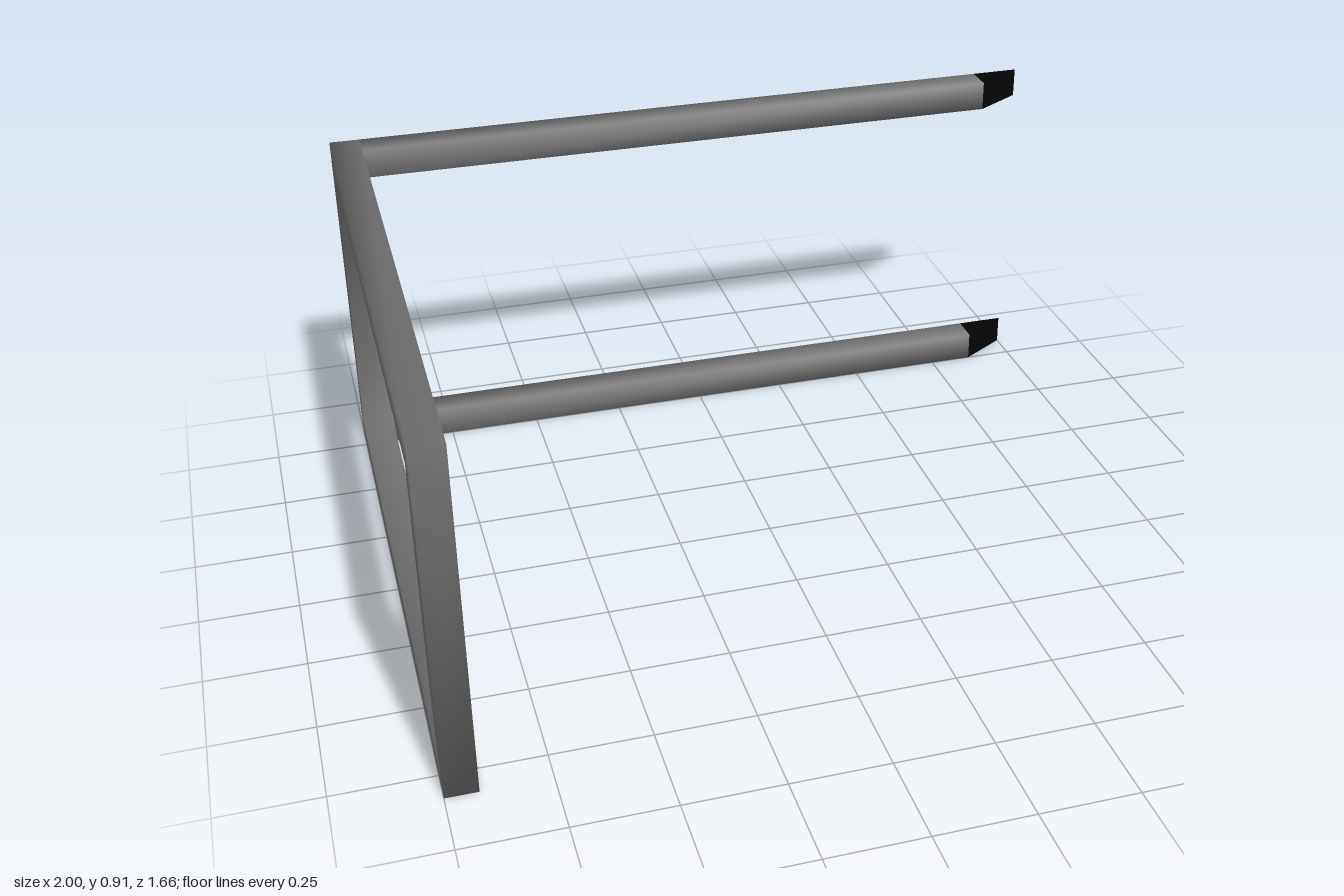
import * as THREE from 'three';
import { mergeVertices } from 'three/addons/utils/BufferGeometryUtils.js';

const T = 0.08;                       // beam thickness
const H = 0.91;                       // overall height
const Z = 0.83;                       // half depth
const BACK = -Z, INNER = -Z + T;      // back arm faces
const TIP = 0.87;                     // where the dark tips begin

// Weld corners so shading runs smoothly around the beams
function weld(geometry) {
  geometry.deleteAttribute('normal');
  geometry.deleteAttribute('uv');
  const welded = mergeVertices(geometry, 1e-4);
  welded.computeVertexNormals();
  return welded;
}

function rect(target, x0, y0, x1, y1) {
  target.moveTo(x0, y0);
  target.lineTo(x1, y0);
  target.lineTo(x1, y1);
  target.lineTo(x0, y1);
  target.closePath();
  return target;
}

// Square beam along x without caps
function armGeometry(x0, x1) {
  const corners = [[0, BACK], [0, INNER], [T, INNER], [T, BACK]];
  const positions = [], index = [];
  for (const x of [x0, x1]) for (const [y, z] of corners) positions.push(x, y, z);
  for (let i = 0; i < 4; i++) {
    const j = (i + 1) % 4;
    index.push(i, i + 4, j + 4, i, j + 4, j);
  }
  const g = new THREE.BufferGeometry();
  g.setAttribute('position', new THREE.Float32BufferAttribute(positions, 3));
  g.setIndex(index);
  g.computeVertexNormals();
  return g;
}

export function createModel() {
  const group = new THREE.Group();
  const grey = new THREE.MeshStandardMaterial({ color: 0x777777 });
  const black = new THREE.MeshStandardMaterial({ color: 0x050505 });

  const add = (name, geometry, material, y = 0) => {
    const mesh = new THREE.Mesh(geometry, material);
    mesh.name = name;
    mesh.position.y = y;
    group.add(mesh);
  };

  // Closed rectangular side frame
  const outline = rect(new THREE.Shape(), -Z, 0, Z, H);
  outline.holes.push(rect(new THREE.Path(), -Z + T, T, Z - T, H - T));
  const frame = new THREE.ExtrudeGeometry(outline, { depth: T, bevelEnabled: false });
  frame.rotateY(-Math.PI / 2).translate(-1 + T, 0, 0);
  add('sideFrame', weld(frame), grey);

  // Back arms, each ending in a mitred dark wedge
  const arm = armGeometry(-1 + T, TIP);
  const wedge = new THREE.Shape();
  wedge.moveTo(TIP, BACK);
  wedge.lineTo(1, BACK);
  wedge.lineTo(TIP, INNER);
  wedge.closePath();
  const tip = new THREE.ExtrudeGeometry(wedge, { depth: T, bevelEnabled: false });
  tip.rotateX(Math.PI / 2).translate(0, T, 0);

  for (const [name, y] of [['lower', 0], ['upper', H - T]]) {
    add(name + 'BackArm', arm, grey, y);
    add(name + 'ArmTip', tip, black, y);
  }
  return group;
}
